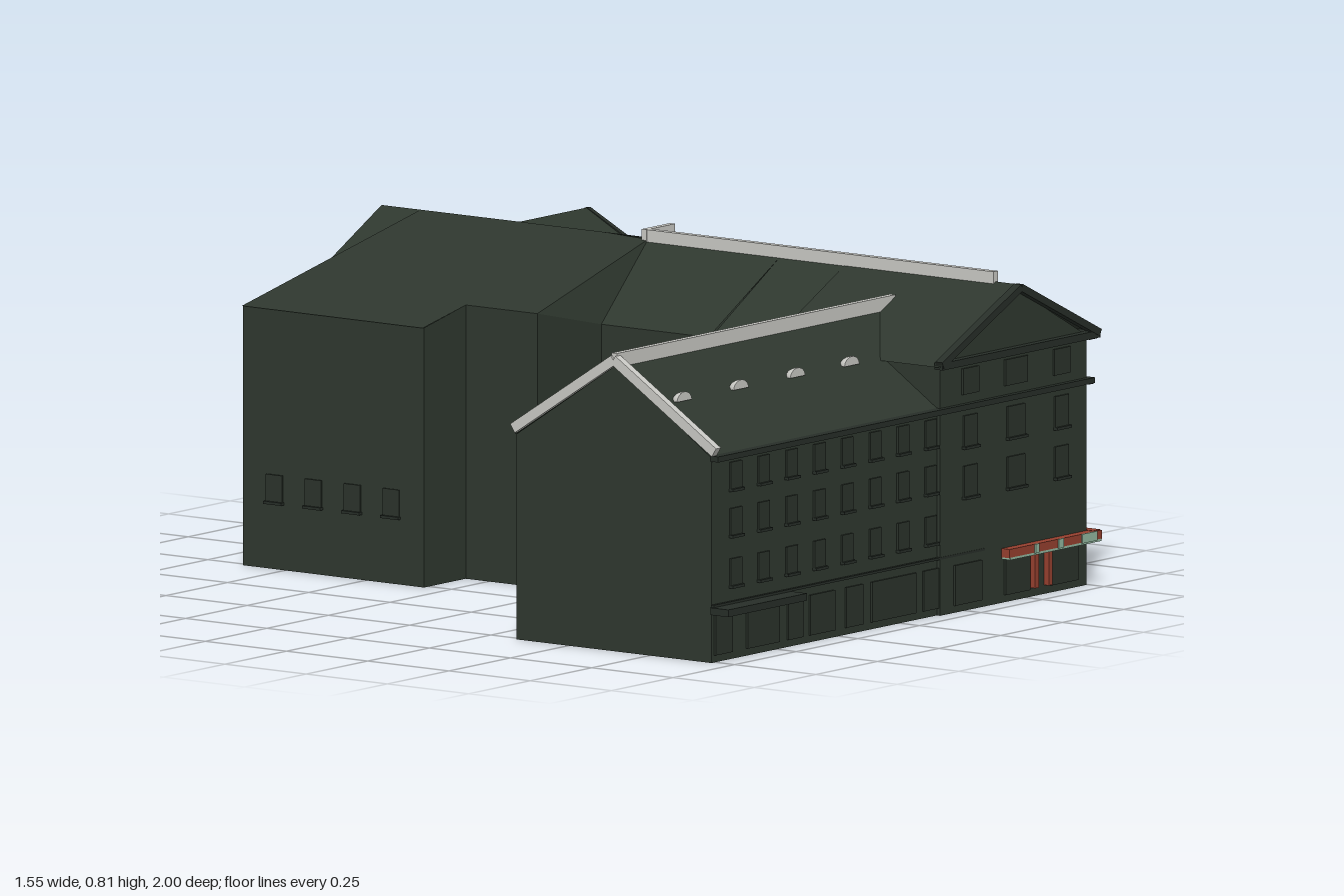
import * as THREE from 'three';

const mat = (name, color, side = THREE.DoubleSide) => {
  const m = new THREE.MeshStandardMaterial({ color, side });
  m.name = name;
  return m;
};

export function createModel() {
  const root = new THREE.Group();
  const wallMat = mat('dark green wall', 0x2f382f);
  const roofMat = mat('dark green roof', 0x2e372e);
  const glassMat = mat('window green', 0x2b332b);
  const trimMat = mat('trim green', 0x272e28);
  const stoneMat = mat('pale stone', 0xcbcbc6);
  const redMat = mat('brick red', 0x97402f);
  const mintMat = mat('mint', 0x93b9a0);

  const add = (name, geo, m) => {
    const mesh = new THREE.Mesh(geo, m);
    mesh.name = name;
    root.add(mesh);
    return mesh;
  };
  const box = (name, m, w, h, d, x, y, z) => {
    const b = add(name, new THREE.BoxGeometry(w, h, d), m);
    b.position.set(x, y, z);
    return b;
  };
  // Straight bar between two points
  const beam = (name, m, a, b, w, h) => {
    const p = new THREE.Vector3(...a), q = new THREE.Vector3(...b);
    const bar = box(name, m, w, h, p.distanceTo(q), 0, 0, 0);
    bar.position.copy(p).add(q).multiplyScalar(0.5);
    bar.lookAt(q);
  };
  // Flat polygons, each a fan of triangles
  const faces = (name, m, polys) => {
    const pos = [];
    for (const p of polys)
      for (let i = 1; i < p.length - 1; i++) pos.push(...p[0], ...p[i], ...p[i + 1]);
    const g = new THREE.BufferGeometry();
    g.setAttribute('position', new THREE.Float32BufferAttribute(pos, 3));
    g.computeVertexNormals();
    add(name, g, m);
  };

  // Outer walls: footprint [x, z, wall top], open underneath
  const plan = [
    [.745, .95, .62], [.455, .95, .775], [.15, .95, .62], [.15, .94, .51],
    [-.765, .94, .51], [-.765, .645, .71], [-.765, .34, .51], [.1, .34, .51],
    [.16, .43, .6], [.18, .43, .62], [.18, .23, .62], [.16, .23, .62], [.16, -.1, .62],
    [-.1, -.1, .68], [-.1, -.32, .68], [-.27, -.32, .645], [-.265, -.88, .645],
    [-.01, -.88, .695], [-.01, -1, .55], [.455, -1, .79], [.72, -1, .65],
    [.722, -.83, .66], [.728, -.575, .785], [.732, -.33, .66], [.735, -.18, .65],
  ];
  faces('outerWalls', wallMat, plan.map(([x, z, y], i) => {
    const [u, w, v] = plan[(i + 1) % plan.length];
    return [[x, y, z], [x, 0, z], [u, 0, w], [u, v, w]];
  }));
  faces('upperWalls', wallMat, [
    [[.15, .62, .95], [.15, .5, .95], [.15, .5, .43], [.15, .62, .43]],
    [[-.01, .695, -.88], [-.01, .5, -.88], [.455, .7, -.88], [.455, .79, -.88]],
    [[.735, .65, -.18], [.735, .6, -.18], [.455, .77, -.18], [.455, .79, -.18]],
    [[-.1, .68, -.1], [.16, .62, -.1], [.455, .785, -.18]],
  ]);
  const turret = add('cornerTurret', new THREE.LatheGeometry(
    [[.06, 0], [.06, .545], [0, .56]].map(p => new THREE.Vector2(...p)), 20), wallMat);
  turret.position.set(-.01, 0, -.94);

  // Roofs
  faces('mainWingRoof', roofMat, [
    [[.775, .625, .965], [.755, .625, -.18], [.455, .785, -.18], [.455, .785, .965]],
    [[.455, .785, .965], [.455, .785, .43], [.13, .62, .43], [.13, .62, .965]],
    [[.455, .785, .43], [.455, .785, .23], [.18, .625, .23], [.18, .625, .43]],
    [[.455, .785, .23], [.455, .785, -.18], [.16, .62, -.1], [.16, .62, .23]],
  ]);
  faces('frontWingRoof', roofMat, [
    [[-.765, .505, .955], [.15, .505, .955], [.33, .71, .645], [-.765, .71, .645]],
    [[-.765, .51, .335], [-.765, .71, .645], [-.11, .71, .645], [.1, .51, .335]],
    [[.1, .51, .335], [-.11, .71, .645], [.16, .52, .43]],
    [[.16, .52, .43], [-.11, .71, .645], [.33, .71, .645]],
  ]);
  faces('rearRoof', roofMat, [
    [[.455, .79, -.88], [-.27, .645, -.88], [-.275, .645, -.32], [.455, .79, -.32]],
    [[.455, .79, -.32], [-.1, .68, -.32], [-.1, .68, -.1], [.455, .785, -.18]],
    [[.455, .79, -1], [-.01, .55, -1], [-.01, .55, -.88], [.455, .79, -.88]],
    [[.455, .79, -.575], [.735, .655, -.32], [.74, .65, -.18], [.455, .79, -.18]],
    [[.455, .79, -.575], [.455, .79, -1], [.725, .65, -1], [.728, .655, -.83]],
    [[.455, .79, -.575], [.735, .79, -.575], [.738, .655, -.32]],
    [[.455, .79, -.575], [.728, .655, -.83], [.735, .79, -.575]],
  ]);

  // Pale ridge caps and gable coping
  box('frontWingRidge', stoneMat, 1.13, .035, .016, -.205, .724, .645);
  box('mainWingRidge', stoneMat, .018, .035, 1.08, .455, .793, .35);
  box('ridgeEndWall', stoneMat, .115, .055, .016, .503, .783, -.185);
  for (const z of [.955, .335])
    beam('gableCoping', stoneMat, [-.765, .525, z], [-.765, .725, .645], .02, .025);

  // Cornices, belts and pediment
  box('pedimentCornice', trimMat, .64, .018, .025, .455, .622, .957);
  for (const x of [.135, .775])
    beam('pedimentRake', trimMat, [x, .625, .96], [.455, .778, .96], .022, .018);
  box('frontCornice', trimMat, 1.53, .014, .025, -.005, .508, .952);
  beam('sideEaves', trimMat, [.753, .62, .965], [.745, .62, -.18], .03, .018);
  beam('sideCornice', trimMat, [.75, .506, .96], [.742, .506, -.18], .025, .014);
  for (const s of [-1, 1])
    beam('sideGableRake', trimMat, [.732, .785, -.575], [.732, .657, -.575 + s * .25], .014, .012);
  for (const z of [-.25, -.91]) box('sideEave', trimMat, .016, .012, .16, .73, .652, z);
  box('frontBelt', trimMat, 1.1, .006, .008, -.22, .142, .947);

  // Windows: dir is the outward axis, u runs along the wall
  const pane = (dir, wall, u, y, w, h, sill = true) => {
    const onX = dir.endsWith('x'), s = dir[0] === '-' ? -1 : 1;
    const put = (name, m, pw, ph, t, py) => onX
      ? box(name, m, t, ph, pw, wall + s * t / 2, py, u)
      : box(name, m, pw, ph, t, u, py, wall + s * t / 2);
    put('window', glassMat, w, h, .005, y);
    if (sill) put('windowSill', trimMat, w * 1.1, .007, .012, y - h / 2);
  };
  for (let i = 0; i < 8; i++) {
    const x = -.67 + i * .113;
    for (const y of [.215, .34, .455]) {
      pane('+z', .941, x, y, .045, .07);
      if (i < 7) pane('-z', .34, x - .02, y, .045, .07);
    }
    if (i < 7) pane('-z', .34, x - .02, .08, .045, .07);
  }
  for (const x of [.27, .455, .64]) {
    pane('+z', .95, x, .57, x === .455 ? .09 : .065, .065, false);
    for (const y of [.32, .445]) pane('+z', .95, x, y, x === .455 ? .07 : .055, .08);
  }
  for (let i = 0; i < 8; i++) {
    const z = .84 - i * .135, wall = .737 + z * .009;
    pane('+x', wall, z, .57, .06, .06, false);
    for (const y of [.32, .455]) pane('+x', wall, z, y, .05, .075);
  }
  for (let i = 0; i < 4; i++) {
    for (const y of [.18, .33, .47]) pane('-x', .16, -.04 + i * .075, y, .035, .08);
    pane('-x', -.268, -.42 - i * .12, .2, .05, .07);
  }

  // Shopfronts at street level
  for (const [x, w] of [[-.72, .07], [-.56, .13], [-.43, .06], [-.32, .1], [-.19, .07],
    [-.03, .18], [.12, .06], [.26, .11], [.46, .1], [.65, .11]])
    pane('+z', x < .15 ? .941 : .95, x, .068, w, .1, false);
  for (const z of [.75, .45, .25, .05]) pane('+x', .742, z, .065, .14, .1, false);
  pane('+x', .726, -.77, .105, .085, .115, false);
  pane('+x', .73, -.47, .57, .12, .1, false);
  box('shopAwning', trimMat, .32, .018, .055, -.615, .13, .972);

  // Rear facade bays with frames, glazing bars, corbels and canopies
  for (const [z, w] of [[-.25, .1], [-.47, .125], [-.68, .125], [-.91, .1]]) {
    const wide = w > .11, x = .733 + z * .006;
    box('bayPanel', glassMat, .012, .26, w * .8, x, .345, z);
    for (const s of [-1, 1]) box('bayPost', trimMat, .025, .26, .015, x + .004, .345, z + s * w * .42);
    for (const y of [.215, .34, .475]) box('bayRail', trimMat, .026, .012, w, x + .004, y, z);
    box('glazingBar', trimMat, .02, .25, .008, x, .345, z);
    if (wide) {
      const c = add('bayCanopy', new THREE.CylinderGeometry(.012, .07, .022, 16), mintMat);
      c.scale.x = .35;
      c.position.set(x - .002, .484, z);
    } else {
      const c = add('bayCorbel', new THREE.SphereGeometry(.016, 10, 8), trimMat);
      c.position.set(x, .18, z);
      const d = add('sideDormer', new THREE.SphereGeometry(.045, 16, 6, 0, Math.PI * 2, 0, Math.PI / 2), mintMat);
      d.scale.y = .65;
      d.position.set(.7, .672, z);
    }
  }

  // Half-round roof lights
  for (const x of [-.67, -.44, -.21, .01]) {
    const d = add('roofLight', new THREE.SphereGeometry(.03, 14, 6, 0, Math.PI, 0, Math.PI / 2), stoneMat);
    d.rotation.y = Math.PI;
    d.scale.y = .75;
    d.position.set(x, .624, .785);
    const f = add('roofLightFront', new THREE.CircleGeometry(.03, 14, 0, Math.PI), stoneMat);
    f.scale.y = .75;
    f.position.copy(d.position);
  }

  // Corner shop fascia and posts
  box('fasciaFront', redMat, .375, .022, .03, .587, .124, .96);
  box('fasciaSide', redMat, .03, .02, .43, .76, .126, .755);
  for (const [x, w] of [[.508, .015], [.605, .02], [.72, .06]])
    box('fasciaPanel', mintMat, w, .023, .004, x, .124, .977);
  for (const z of [.88, .72]) box('fasciaPanel', mintMat, .004, .021, .035, .776, .126, z);
  box('fasciaTrim', mintMat, .37, .006, .03, .587, .111, .96);
  for (const x of [.525, .58]) box('shopPost', redMat, .016, .09, .015, x, .067, .957);
  for (const z of [.915, .85, .595, .548]) box('shopPost', redMat, .015, .1, .018, .75, .067, z);

  return root;
}
